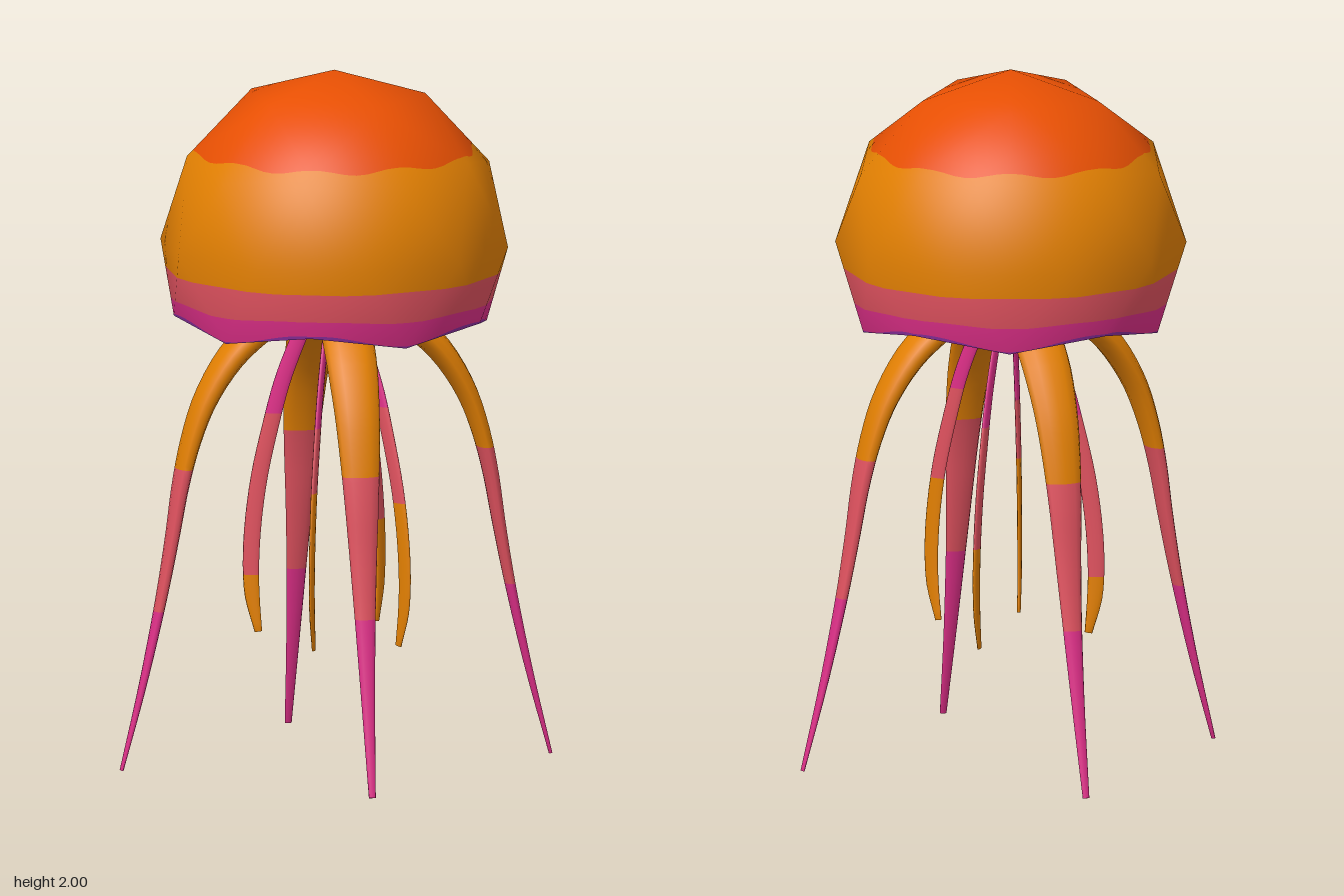
import * as THREE from 'three';
import { mergeVertices } from 'three/addons/utils/BufferGeometryUtils.js';

const flat = (name, color) => {
  const m = new THREE.MeshStandardMaterial({ color });
  m.name = name;
  return m;
};

// Border between two colour bands: a height that may ripple around the y axis.
const border = (y, ripple = 0, waves = 0) => v => v[1] - y - ripple * Math.cos(waves * Math.atan2(v[2], v[0]));

// Cuts a geometry into colour bands, borders listed from the top down, one material group per band.
function bandMesh(name, geometry, borders, materials, splits = 0) {
  const g = geometry.toNonIndexed();
  const P = g.attributes.position, N = g.attributes.normal;
  const mid = (a, b) => a.map((v, k) => (v + b[k]) / 2);
  let tris = [];
  for (let i = 0; i < P.count; i += 3) {
    tris.push([0, 1, 2].map(k => [P.getX(i + k), P.getY(i + k), P.getZ(i + k),
      N.getX(i + k), N.getY(i + k), N.getZ(i + k)]));
  }
  // Finer flat pieces let rippled borders run smoothly
  for (let s = 0; s < splits; s++) {
    tris = tris.flatMap(([a, b, c]) => {
      const ab = mid(a, b), bc = mid(b, c), ca = mid(c, a);
      return [[a, ab, ca], [ab, b, bc], [ca, bc, c], [ab, bc, ca]];
    });
  }
  const clip = (poly, height, sign) => {
    const out = [];
    poly.forEach((a, i) => {
      const b = poly[(i + 1) % poly.length];
      const da = height(a) * sign, db = height(b) * sign;
      if (da >= 0) out.push(a);
      if (da * db < 0) out.push(a.map((v, k) => v + (b[k] - v) * da / (da - db)));
    });
    return out;
  };
  const pos = [], nor = [], result = new THREE.BufferGeometry();
  materials.forEach((_, band) => {
    const start = pos.length / 3;
    for (const tri of tris) {
      let poly = tri;
      if (band > 0) poly = clip(poly, borders[band - 1], -1);
      if (band < borders.length) poly = clip(poly, borders[band], 1);
      for (let k = 2; k < poly.length; k++) {
        for (const v of [poly[0], poly[k - 1], poly[k]]) {
          pos.push(v[0], v[1], v[2]);
          nor.push(v[3], v[4], v[5]);
        }
      }
    }
    result.addGroup(start, pos.length / 3 - start, band);
  });
  result.setAttribute('position', new THREE.Float32BufferAttribute(pos, 3));
  result.setAttribute('normal', new THREE.Float32BufferAttribute(nor, 3));
  const mesh = new THREE.Mesh(result, materials);
  mesh.name = name;
  return mesh;
}

// Sweeps an ellipse along a path in a vertical plane through the y axis.
// Each profile row: [radius, y, radial thickness, sideways width]
function tentacleGeometry(profile, angle, spread, segments = 36, sides = 12) {
  const path = new THREE.CatmullRomCurve3(profile.map(p => new THREE.Vector3(p[0] * spread, p[1], 0)));
  const size = new THREE.CatmullRomCurve3(profile.map(p => new THREE.Vector3(p[2] / 2, p[3] / 2, 0)));
  const c = Math.cos(angle), s = Math.sin(angle), pos = [], index = [];
  for (let i = -1; i <= segments + 1; i++) {
    const t = Math.min(Math.max(i / segments, 0), 1);
    const p = path.getPoint(t), d = path.getTangent(t), w = size.getPoint(t);
    const open = i < 0 || i > segments ? 0.001 : 1; // closed ends
    for (let j = 0; j < sides; j++) {
      const a = j / sides * Math.PI * 2;
      const n = Math.cos(a) * w.x * open, b = Math.sin(a) * w.y * open;
      const r = p.x - d.y * n;
      pos.push(r * c - b * s, p.y + d.x * n, r * s + b * c);
      if (i <= segments) {
        const k = (i + 1) * sides, j2 = (j + 1) % sides;
        index.push(k + j, k + j2, k + sides + j, k + j2, k + sides + j2, k + sides + j);
      }
    }
  }
  const g = new THREE.BufferGeometry();
  g.setAttribute('position', new THREE.Float32BufferAttribute(pos, 3));
  g.setIndex(index);
  g.computeVertexNormals();
  return g;
}

// Faceted sphere whose lower cap is pushed up into a hollow; returns outside and underside.
function bellGeometries() {
  let g = new THREE.IcosahedronGeometry(0.5, 1).rotateZ(-Math.atan(2 / (1 + Math.sqrt(5))));
  g.deleteAttribute('normal');
  g.deleteAttribute('uv');
  g = mergeVertices(g, 1e-3);
  const p = g.attributes.position, hollow = [];
  for (let i = 0; i < p.count; i++) {
    const x = p.getX(i), y = p.getY(i), z = p.getZ(i);
    let k = 1, ny = y;
    if (y < -0.45) ny = -0.08;                                          // centre of hollow
    else if (y < -0.35) ny = -0.14;                                     // inner ring
    else if (y < -0.25) { ny = -0.237; k = 1.035; }                     // low rim points
    else if (y < -0.15) { ny = -0.197; k = 1.035; }                     // high rim points
    hollow[i] = y < -0.35;
    p.setXYZ(i, x * k, ny + 1.5, z * k);
  }
  const outside = [], under = [], ix = g.index.array;
  for (let i = 0; i < ix.length; i += 3) {
    const tri = [ix[i], ix[i + 1], ix[i + 2]];
    (tri.some(v => hollow[v]) ? under : outside).push(...tri);
  }
  // Separate normals keep the rim crisp
  return [outside, under].map(list => {
    const part = g.clone().setIndex(list);
    part.computeVertexNormals();
    return part;
  });
}

export function createModel() {
  const model = new THREE.Group();
  model.name = 'jellyfish';
  const red = flat('red orange', 0xe64f03), orange = flat('orange', 0xe38002);
  const coral = flat('coral', 0xe0525f), magenta = flat('magenta', 0xde2f88);
  const purple = flat('purple', 0x8c2fa0);

  // Bell
  const [outside, under] = bellGeometries();
  model.add(bandMesh('bell', outside,
    [border(1.771, 0.008, 10), border(1.43), border(1.345, -0.006, 5), border(1.289, -0.02, 5)],
    [red, orange, coral, magenta, purple], 3));
  const underside = new THREE.Mesh(under, purple);
  underside.name = 'bellUnderside';
  model.add(underside);

  // Four long tentacles: [tip x, tip z, colour levels]
  const longProfile = [
    [0.02, 1.395, 0.05, 0.09], [0.11, 1.352, 0.08, 0.13], [0.2, 1.28, 0.082, 0.148],
    [0.3, 1.19, 0.074, 0.145], [0.378, 1.07, 0.062, 0.13], [0.423, 0.95, 0.052, 0.115],
    [0.454, 0.82, 0.044, 0.098], [0.477, 0.68, 0.037, 0.08], [0.51, 0.5, 0.03, 0.06],
    [0.565, 0.25, 0.021, 0.038], [0.628, 0.004, 0.01, 0.02],
  ];
  [[0.63, -0.02, 0.9, 0.5], [-0.63, 0.065, 0.87, 0.46], [0.004, 0.63, 0.9, 0.5], [-0.027, -0.63, 0.885, 0.47]]
    .forEach(([x, z, a, b], i) => model.add(bandMesh('longTentacle' + (i + 1),
      tentacleGeometry(longProfile, Math.atan2(z, x), 1), [border(a), border(b)], [orange, coral, magenta])));

  // Four short curled ribbon tentacles: [tip x, tip z, spread, colour levels]
  const shortProfile = [
    [0.02, 1.38, 0.032, 0.014], [0.06, 1.32, 0.04, 0.016], [0.1, 1.23, 0.045, 0.016],
    [0.15, 1.1, 0.047, 0.016], [0.185, 0.97, 0.048, 0.016], [0.222, 0.8, 0.049, 0.015],
    [0.242, 0.62, 0.049, 0.014], [0.241, 0.48, 0.045, 0.013], [0.222, 0.367, 0.022, 0.01],
  ];
  [[-0.2, -0.085, 1, 1, 0.53], [0.165, 0.23, 1.16, 1.05, 0.78], [-0.1, 0.24, 1.16, 1, 0.82], [0.165, -0.21, 1.14, 1, 0.66]]
    .forEach(([x, z, spread, a, b], i) => model.add(bandMesh('shortTentacle' + (i + 1),
      tentacleGeometry(shortProfile, Math.atan2(z, x), spread), [border(a), border(b)], [magenta, coral, orange])));

  return model;
}
